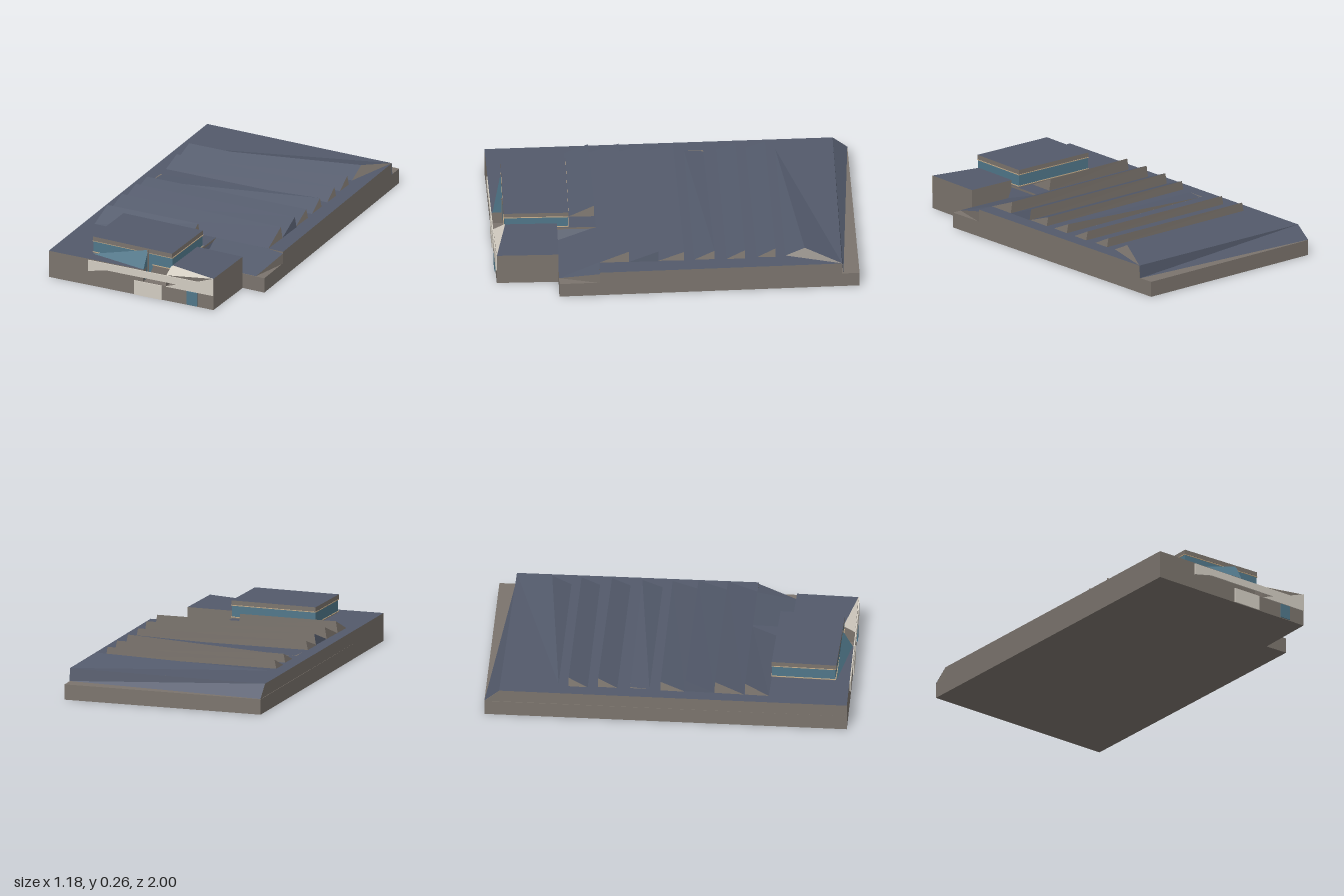
import * as THREE from 'three';

const mat = (name, color) => new THREE.MeshStandardMaterial({ name, color, side: THREE.DoubleSide });

export function createModel() {
  const model = new THREE.Group();
  model.name = 'factoryBuilding';
  const roof = mat('slate roof', 0x535a6b);
  const wall = mat('brown wall', 0x7b746d);
  const cream = mat('cream panel', 0xd3cdc2);
  const glass = mat('teal glass', 0x50778a);
  const tan = mat('tan trim', 0xc2aa88);

  const add = (name, geo, material, parent = model) => {
    const m = new THREE.Mesh(geo, material);
    m.name = name;
    parent.add(m);
    return m;
  };

  // Upright prism over a plan given as [x, z] corners
  const prism = (name, plan, y0, y1, top) => {
    const shape = new THREE.Shape(plan.map(([x, z]) => new THREE.Vector2(x, -z)));
    const geo = new THREE.ExtrudeGeometry(shape, { depth: y1 - y0, bevelEnabled: false });
    geo.rotateX(-Math.PI / 2).translate(0, y0, 0);
    return add(name, geo, [top, wall]);
  };

  // Flat polygons, each a list of [x, y, z] corners
  const faces = (name, material, ...polys) => {
    const pos = [];
    for (const p of polys)
      for (let i = 1; i < p.length - 1; i++) pos.push(...p[0], ...p[i], ...p[i + 1]);
    const geo = new THREE.BufferGeometry();
    geo.setAttribute('position', new THREE.Float32BufferAttribute(pos, 3));
    geo.computeVertexNormals();
    return add(name, geo, material);
  };

  const box = (name, x0, x1, y0, y1, z0, z1, material) => {
    const geo = new THREE.BoxGeometry(x1 - x0, y1 - y0, z1 - z0);
    geo.translate((x0 + x1) / 2, (y0 + y1) / 2, (z0 + z1) / 2);
    return add(name, geo, material);
  };

  // Ground storey and main hall
  const L = 0.085, R = 0.155;
  prism('groundStorey', [[-0.588, -0.97], [0.54, -1], [0.588, 0.63], [0.455, 0.63], [0.455, 0.965], [-0.54, 1]], 0, L, wall);
  prism('mainHall', [[-0.583, -0.89], [0.545, -0.905], [0.585, 0.41], [0.17, 0.41], [0.17, 0.91],
    [0.03, 0.91], [0.03, 0.98], [-0.54, 1]], L, R, roof);

  // Roof falling to the back edge
  faces('backRoofSlope', roof, [[-0.583, R, -0.89], [0.545, R, -0.905], [0.545, L, -0.912], [-0.587, L + 0.002, -0.97]]);
  faces('backSlopeEnd', wall, [[-0.583, R, -0.89], [-0.587, L, -0.97], [-0.583, L, -0.89]]);

  // Saw-tooth roof lights: peak z left/right, foot z left/right, height left/right
  const tooth = (xL, xR, pL, pR, fL, fR, hL, hR, end = wall) => {
    const y = R + 0.001;
    const a = [xL, y, fL], b = [xR, y, fR], c = [xR - 0.01, hR, pR], d = [xL + 0.01, hL, pL];
    const e = [xL, y, pL], f = [xR, y, pR];
    faces('sawtoothSlope', roof, [a, b, c, d]);
    faces('sawtoothBack', wall, [f, e, d, c]);
    faces('sawtoothEnds', end, [b, f, c], [e, a, d]);
  };
  tooth(-0.49, 0.08, 0.44, 0.425, 0.57, 0.567, 0.22, 0.22);
  tooth(-0.49, 0.495, 0.275, 0.25, 0.435, 0.41, 0.22, 0.218);
  tooth(-0.49, 0.495, 0.115, 0.09, 0.275, 0.25, 0.217, 0.215, roof);
  tooth(-0.495, 0.49, -0.02, -0.05, 0.115, 0.09, 0.205, 0.205);
  tooth(-0.49, 0.485, -0.185, -0.215, -0.08, -0.105, R + 0.001, 0.205);
  tooth(-0.495, 0.485, -0.36, -0.38, -0.255, -0.28, 0.205, 0.205);
  tooth(-0.505, 0.475, -0.52, -0.545, -0.415, -0.445, 0.205, 0.205);

  // Long rear tooth running down to the back corner
  const y = R + 0.001;
  const tip = [-0.49, y, -0.575], foot = [0.465, y, -0.6], peak = [0.465, 0.206, -0.705], corner = [0.545, y, -0.905];
  faces('rearRoofRidge', roof, [tip, foot, peak], [tip, peak, corner], [tip, corner, [-0.46, y, -0.885]]);
  faces('rearRidgeEnd', wall, [foot, corner, peak]);

  // Sloping terrace roof beside the front block
  const A = [0.17, R, 0.41], B = [0.49, R, 0.41], C = [0.585, 0.145, 0.41], D = [0.537, 0.087, 0.63], E = [0.2, 0.087, 0.63];
  faces('terraceRoof', roof, [A, E, B], [B, E, D], [B, D, C], [A, [0.17, R, 0.63], E]);
  faces('terraceEdge', wall, [C, D, [0.585, L, 0.41]]);

  // Front block with a sloped cream front
  prism('frontBlock', [[0.17, 0.63], [0.455, 0.63], [0.455, 0.965], [0.17, 0.91]], L, 0.185, roof);
  faces('frontBlockSlope', cream, [[0.17, 0.185, 0.91], [0.17, 0.15, 0.975], [0.455, 0.185, 0.965]]);
  faces('recessSide', wall, [[0.17, 0.185, 0.91], [0.17, L, 0.91], [0.17, L, 0.975], [0.17, 0.15, 0.975]]);
  prism('cabinFloor', [[0.03, 0.41], [0.175, 0.41], [0.175, 0.91], [0.03, 0.91]], L, R + 0.0005, roof);

  // Glazed cabin
  box('cabinCurb', -0.305, 0.17, R, 0.166, 0.575, 0.912, wall);
  box('cabinGlass', -0.31, 0.175, 0.166, 0.229, 0.57, 0.915, glass);
  for (const t of [0.163, 0.228]) box('glassTrim', -0.314, 0.179, t, t + 0.004, 0.566, 0.919, tan);
  box('cabinRoof', -0.312, 0.176, 0.232, 0.257, 0.568, 0.92, [wall, wall, roof, wall, wall, wall]);

  // Glass prow and mullion above the entrance
  faces('glassProw', glass, [[-0.31, R, 0.92], [0.03, R, 0.975], [0.03, 0.25, 0.922]]);
  faces('prowSide', glass, [[0.03, 0.25, 0.922], [0.03, L, 0.922], [0.03, L, 0.975], [0.03, R, 0.975]],
    [[0.03, 0.25, 0.922], [0.03, L, 0.922], [0.06, R, 0.922]]);
  box('mullion', 0.026, 0.034, 0.1, 0.25, 0.917, 0.927, wall);

  // Plates lying on the slightly skewed front wall
  const front = new THREE.Group();
  front.name = 'frontDetails';
  front.position.z = 0.981;
  front.rotation.y = 0.035;
  model.add(front);
  const plate = (name, material, pts) => add(name, new THREE.ExtrudeGeometry(
    new THREE.Shape(pts.map(([px, py]) => new THREE.Vector2(px, py))), { depth: 0.006, bevelEnabled: false }), material, front);
  plate('parapet', cream, [[-0.3, 0.15], [-0.3, 0.085], [-0.19, 0.11], [0.24, 0.11], [0.17, 0.085],
    [0.455, 0.085], [0.455, 0.185], [0.36, 0.15]]);
  plate('door', cream, [[-0.022, 0.001], [0.145, 0.001], [0.145, 0.084], [-0.022, 0.084]]);
  plate('window', glass, [[0.295, 0.004], [0.358, 0.004], [0.358, 0.082], [0.295, 0.082]]);

  return model;
}
